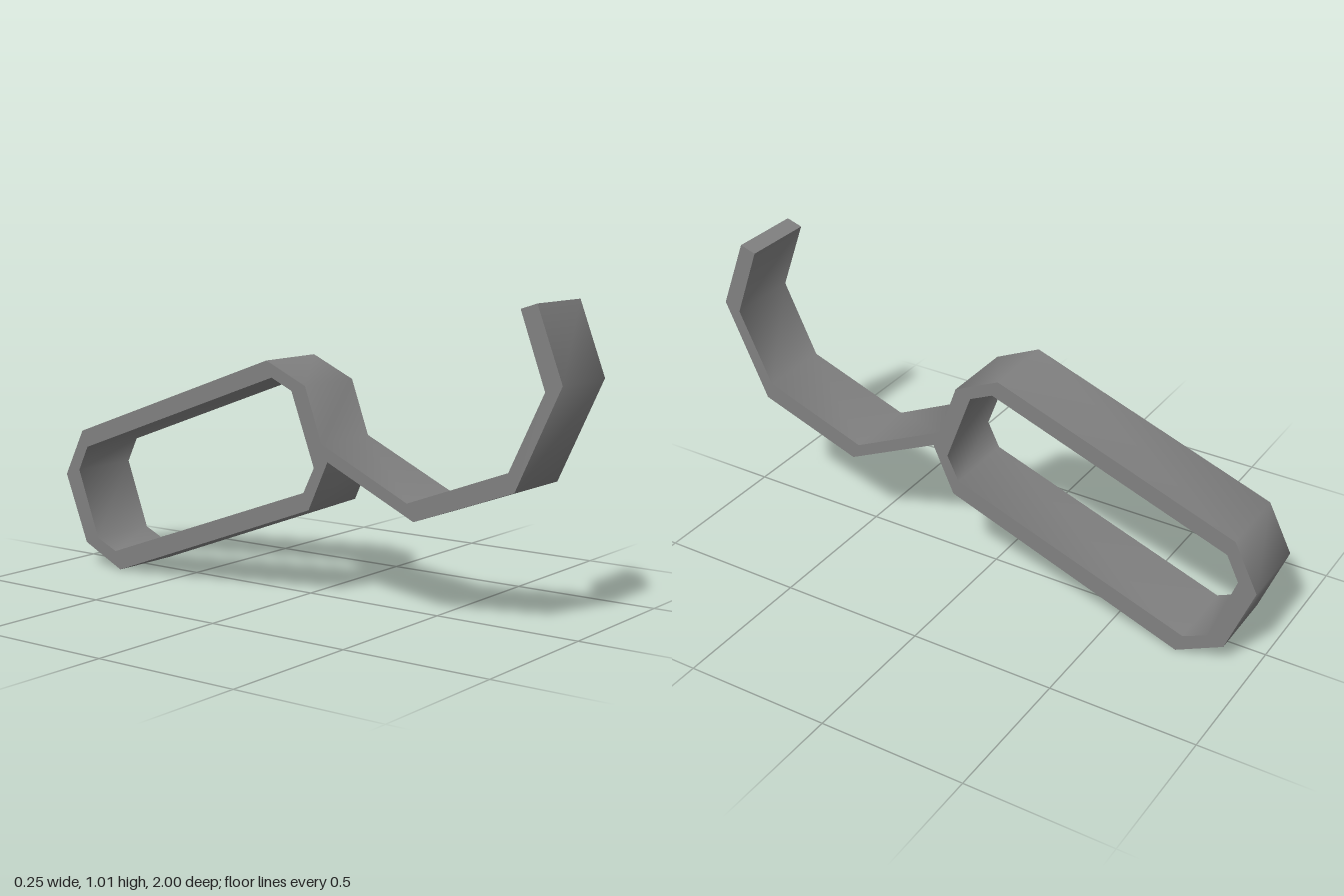
import * as THREE from 'three';
import { toCreasedNormals } from 'three/addons/utils/BufferGeometryUtils.js';

const WIDTH = 0.254;
const toPoints = (list) => list.map(([z, y]) => new THREE.Vector2(z, y));

export function createModel() {
  const group = new THREE.Group();
  group.name = 'sHook';
  const grey = new THREE.MeshStandardMaterial({ color: 0x808080 });
  grey.name = 'grey';

  // Side outline (z, y): open hook, then around the closed loop
  const outline = new THREE.Shape(toPoints([
    [0.912, 1.012], [1.0, 0.78], [0.847, 0.453], [0.492, 0.324], [0.163, 0.477],
    [0.088, 0.314], [-0.745, 0.005], [-0.907, 0.083], [-1.0, 0.32],
    [-0.918, 0.483], [-0.083, 0.785], [0.074, 0.713], [0.139, 0.533],
    [0.467, 0.379], [0.825, 0.511], [0.943, 0.758], [0.857, 0.994],
  ]));

  // Opening inside the loop
  outline.holes.push(new THREE.Path(toPoints([
    [0.019, 0.694], [-0.062, 0.731], [-0.895, 0.427], [-0.937, 0.341],
    [-0.851, 0.106], [-0.767, 0.068], [0.067, 0.368], [0.109, 0.453],
  ])));

  // Flat band extruded across x, bends shaded smoothly, rims kept sharp
  const band = new THREE.ExtrudeGeometry(outline, { depth: WIDTH, bevelEnabled: false });
  band.translate(0, 0, -WIDTH / 2);
  band.rotateY(-Math.PI / 2);
  band.translate(0, -0.004, 0);

  const hook = new THREE.Mesh(toCreasedNormals(band, Math.PI / 3), grey);
  hook.name = 'hookAndLoopBand';
  group.add(hook);
  return group;
}
